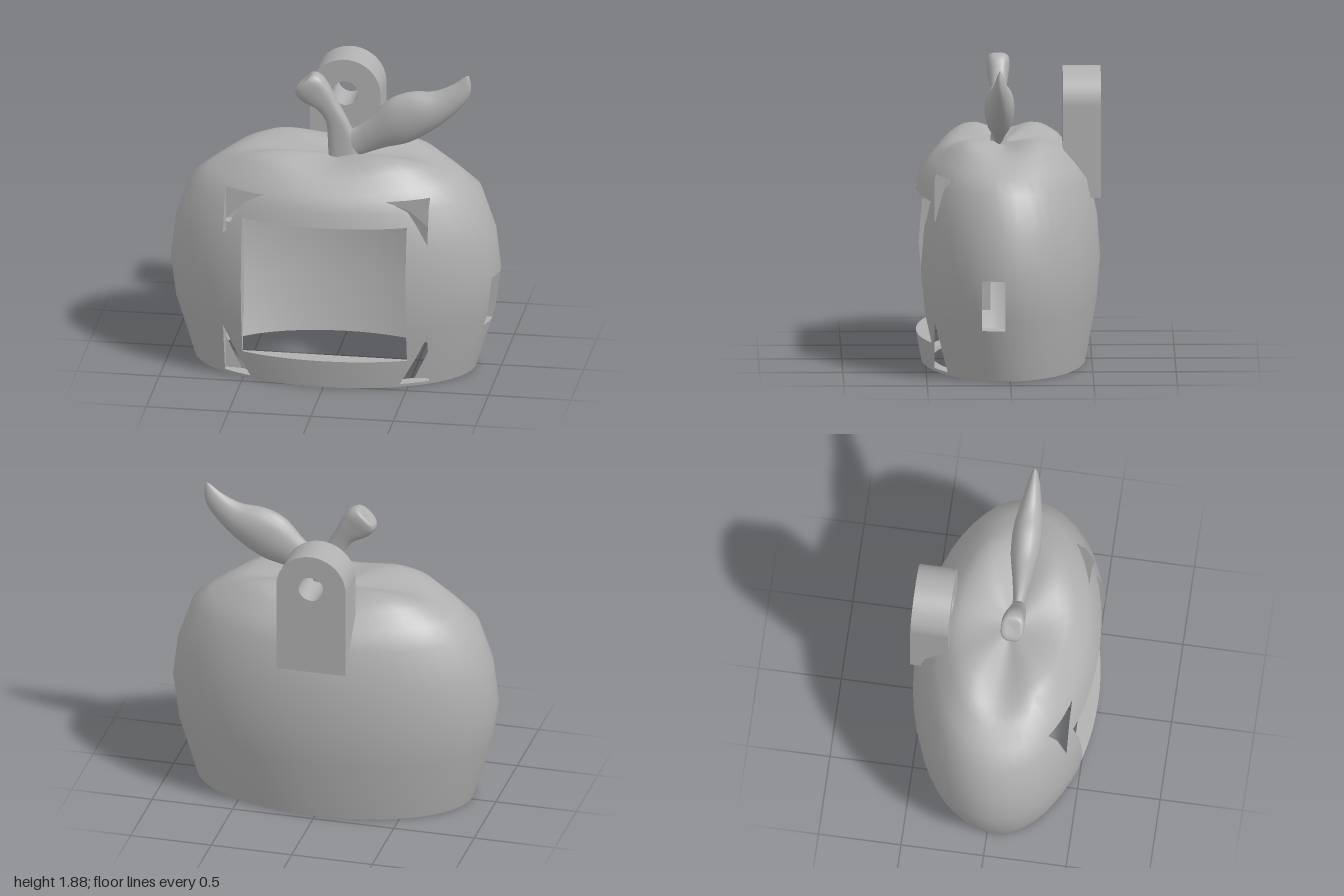
import * as THREE from 'three';
import { mergeVertices } from 'three/addons/utils/BufferGeometryUtils.js';

const DEPTH = 0.58, ZC = 0.03; // elliptical section: depth ratio and centre
const OUTER = [[0.85, 0], [0.967, 0.375], [1, 0.63], [0.97, 0.88], [0.883, 1.13], [0.77, 1.215], [0.65, 1.288],
  [0.56, 1.312], [0.48, 1.323], [0.38, 1.327], [0.28, 1.326], [0.18, 1.324], [0.09, 1.322], [0, 1.32]];
const INNER = [[0.738, 0], [0.855, 0.34], [0.888, 0.63], [0.86, 0.88], [0.77, 1.07], [0.54, 1.2], [0.3, 1.26], [0, 1.24]];

// radius of a profile at height y
function radius(profile, y) {
  for (let i = 1; i < profile.length; i++) {
    const [r0, y0] = profile[i - 1], [r1, y1] = profile[i];
    if (y <= y1) return r0 + (r1 - r0) * (y - y0) / (y1 - y0);
  }
  return 0;
}
const zAt = (p, x, y) => ZC + DEPTH * Math.sqrt(Math.max(0, radius(p, y) ** 2 - x * x));
const xAt = (p, z, y) => Math.sqrt(Math.max(0, radius(p, y) ** 2 - ((z - ZC) / DEPTH) ** 2));

// remove a box from a polygon of [position, normal] vertices
function subtractBox(poly, [min, max]) {
  const kept = [];
  for (let axis = 0; axis < 3; axis++) for (const side of [-1, 1]) {
    const dist = v => side < 0 ? min[axis] - v[axis] : v[axis] - max[axis];
    const out = [], inside = [];
    poly.forEach((a, i) => {
      const b = poly[(i + 1) % poly.length], da = dist(a), db = dist(b);
      (da > 0 ? out : inside).push(a);
      if (da > 0 !== db > 0) {
        const cut = a.map((v, k) => v + (b[k] - v) * da / (da - db));
        out.push(cut);
        inside.push(cut);
      }
    });
    if (out.length > 2) kept.push(out);
    poly = inside;
    if (poly.length < 3) return kept;
  }
  return kept;
}

// smooth elliptical skin with four crown lobes of a given height and box-shaped openings
function skin(profile, lobe, boxes) {
  let lathe = new THREE.LatheGeometry(profile.map(p => new THREE.Vector2(...p)), 48);
  const L = lathe.attributes.position;
  for (let i = 0; i < L.count; i++) {
    const x = L.getX(i), y = L.getY(i), z = L.getZ(i), r = Math.hypot(x, z);
    if (y > 1.2 && r < 0.85) {
      L.setY(i, y + lobe * Math.sin(Math.PI * (r / 0.85) ** 1.3) * Math.sin(2 * Math.atan2(z, x)) ** 2);
    }
  }
  lathe.scale(1, 1, DEPTH).translate(0, 0, ZC);
  lathe.deleteAttribute('normal');
  lathe.deleteAttribute('uv');
  lathe = mergeVertices(lathe);
  lathe.computeVertexNormals();
  const g = lathe.toNonIndexed(), P = g.attributes.position, N = g.attributes.normal;
  const pos = [], nor = [];
  for (let i = 0; i < P.count; i += 3) {
    let polys = [[0, 1, 2].map(k => [P.getX(i + k), P.getY(i + k), P.getZ(i + k),
      N.getX(i + k), N.getY(i + k), N.getZ(i + k)])];
    for (const box of boxes) polys = polys.flatMap(p => subtractBox(p, box));
    for (const p of polys) for (let k = 1; k < p.length - 1; k++) for (const v of [p[0], p[k], p[k + 1]]) {
      pos.push(...v.slice(0, 3));
      nor.push(...v.slice(3));
    }
  }
  const out = new THREE.BufferGeometry();
  out.setAttribute('position', new THREE.Float32BufferAttribute(pos, 3));
  out.setAttribute('normal', new THREE.Float32BufferAttribute(nor, 3));
  return out;
}

// ribbon of quads between two edges, each a function of t in 0..1
function ribbon(lo, hi, n = 24) {
  const pos = [];
  for (let i = 0; i < n; i++) {
    const a = lo(i / n), b = hi(i / n), c = hi((i + 1) / n), d = lo((i + 1) / n);
    pos.push(...a, ...b, ...c, ...a, ...c, ...d);
  }
  const g = new THREE.BufferGeometry();
  g.setAttribute('position', new THREE.Float32BufferAttribute(pos, 3));
  g.computeVertexNormals();
  return g;
}

// smooth loft of rounded sections [x0, y0, x1, y1, half thickness in z]; power < 1 is boxier
function loft(sections, z, power, rows = 40, sides = 20) {
  const A = new THREE.CatmullRomCurve3(sections.map(s => new THREE.Vector3(s[0], s[1], s[4])));
  const B = new THREE.CatmullRomCurve3(sections.map(s => new THREE.Vector3(s[2], s[3], s[4])));
  const round = v => Math.sign(v) * Math.abs(v) ** power;
  const pos = [], idx = [];
  for (let i = 0; i <= rows; i++) {
    const a = A.getPoint(i / rows), b = B.getPoint(i / rows);
    for (let j = 0; j < sides; j++) {
      const t = j / sides * Math.PI * 2, c = round(Math.cos(t)) / 2;
      pos.push((a.x + b.x) / 2 + (b.x - a.x) * c, (a.y + b.y) / 2 + (b.y - a.y) * c, z + a.z * round(Math.sin(t)));
      if (i < rows) {
        const p = i * sides + j, q = i * sides + (j + 1) % sides;
        idx.push(p, p + sides, q, q, p + sides, q + sides);
      }
    }
  }
  const g = new THREE.BufferGeometry();
  g.setAttribute('position', new THREE.Float32BufferAttribute(pos, 3));
  g.setIndex(idx);
  g.computeVertexNormals();
  return g;
}

export function createModel() {
  const model = new THREE.Group();
  const grey = new THREE.MeshStandardMaterial({ color: 0xb0b0b0, side: THREE.DoubleSide });
  grey.name = 'grey';
  const add = (name, geometry) => {
    const m = new THREE.Mesh(geometry, grey);
    m.name = name;
    model.add(m);
    return m;
  };

  // hollow body: window, inner pocket that breaks out at the corners, side slot
  const windowBox = [[-0.5, 0.18, 0], [0.5, 1.04, 2]];
  const pocket = [[-0.62, 0.02, 0.335], [0.62, 1.19, 0.45]];
  const slot = [[0.5, 0.32, 0.03], [2, 0.63, 0.17]];
  add('outerSkin', skin(OUTER, 0.058, [windowBox, pocket, slot]));
  add('innerSkin', skin([...INNER].reverse(), 0, [[pocket[0], [0.62, 1.19, 2]], slot]));
  const rim = add('bottomRim', new THREE.RingGeometry(0.738, 0.85, 48));
  rim.rotation.x = Math.PI / 2;
  rim.scale.y = DEPTH;
  rim.position.z = ZC;

  // flat front wall of the pocket, and its back faces in the corners
  const vectors = points => points.map(p => new THREE.Vector2(...p));
  const half = [[0.455, 0.02], [0.62, 0.33], [0.62, 0.93], [0.45, 1.15], [0.31, 1.19]];
  const wall = new THREE.Shape(vectors([...half, ...half.map(([x, y]) => [-x, y]).reverse()]));
  wall.holes.push(new THREE.Path(vectors([[-0.5, 0.18], [-0.5, 1.04], [0.5, 1.04], [0.5, 0.18]])));
  add('pocketFront', new THREE.ShapeGeometry(wall).translate(0, 0, 0.45));
  const corners = [[[0.23, 1.19], [0.62, 1.19], [0.62, 0.98], [0.5, 1.09]], [[0.525, 0.02], [0.62, 0.02], [0.62, 0.22]]];
  for (const s of [-1, 1]) for (const corner of corners) {
    const shape = new THREE.Shape(vectors(corner.map(([x, y]) => [s * x, y])));
    add('pocketBack', new THREE.ShapeGeometry(shape).translate(0, 0, 0.335));
  }

  // cut faces through the wall
  const pocketLo = (x, y) => [x, y, THREE.MathUtils.clamp(zAt(INNER, x, y), 0.335, 0.45)];
  const pocketHi = (x, y) => [x, y, THREE.MathUtils.clamp(zAt(OUTER, x, y), 0.335, 0.45)];
  const sill = (x, y) => [x, y, 0.45];
  const face = (x, y) => [x, y, zAt(OUTER, x, y)];
  const cuts = [['window', 0.5, 0.18, 1.04, sill, face], ['pocket', 0.62, 0.02, 1.19, pocketLo, pocketHi]];
  for (const [name, w, y0, y1, lo, hi] of cuts) {
    for (const x of [-w, w]) {
      const y = t => y0 + (y1 - y0) * t;
      add(name + 'Side', ribbon(t => lo(x, y(t)), t => hi(x, y(t))));
    }
    for (const y of [y0, y1]) {
      const x = t => -w + 2 * w * t;
      add(name + 'Edge', ribbon(t => lo(x(t), y), t => hi(x(t), y)));
    }
  }
  const slotPoint = (p, y, z) => [xAt(p, z, y), y, z];
  for (const z of [0.03, 0.17]) {
    const y = t => 0.32 + 0.31 * t;
    add('slotSide', ribbon(t => slotPoint(INNER, y(t), z), t => slotPoint(OUTER, y(t), z), 6));
  }
  for (const y of [0.32, 0.63]) {
    const z = t => 0.03 + 0.14 * t;
    add('slotEdge', ribbon(t => slotPoint(INNER, y, z(t)), t => slotPoint(OUTER, y, z(t)), 6));
  }

  // guide rails inside, on one side only
  for (const z of [0.13, -0.04]) {
    add('guideRail', new THREE.BoxGeometry(0.27, 0.62, 0.06)).position.set(-0.71, 0.51, z);
  }

  // hanging lug with a round hole; its underside slopes up inside the shell
  const lug = new THREE.Shape();
  lug.moveTo(-0.215, 1.01).lineTo(0.215, 1.01).lineTo(0.215, 1.565);
  lug.absarc(0, 1.565, 0.215, 0, Math.PI);
  lug.closePath();
  lug.holes.push(new THREE.Path().absarc(0, 1.565, 0.077, 0, Math.PI * 2, true));
  const lugGeometry = new THREE.ExtrudeGeometry(lug, { depth: 0.228, steps: 3, bevelEnabled: false, curveSegments: 24 });
  lugGeometry.translate(0, 0, -0.553);
  const lp = lugGeometry.attributes.position;
  for (let i = 0; i < lp.count; i++) {
    if (lp.getY(i) < 1.02) lp.setY(i, 1.01 + 1.25 * Math.max(0, lp.getZ(i) + 0.477));
  }
  lugGeometry.computeVertexNormals();
  add('hangingLug', lugGeometry);

  // stem and leaf, joined at the base
  add('stem', loft([[-0.04, 1.27, 0.16, 1.27, 0.05], [-0.045, 1.42, 0.13, 1.42, 0.045],
    [-0.055, 1.53, 0.075, 1.55, 0.045], [-0.1, 1.605, 0.015, 1.66, 0.05], [-0.19, 1.655, -0.04, 1.77, 0.062],
    [-0.235, 1.7, -0.085, 1.825, 0.07], [-0.24, 1.735, -0.13, 1.84, 0.065], [-0.187, 1.787, -0.183, 1.79, 0.004]], 0.06, 0.75));
  add('leaf', loft([[0.03, 1.5, 0.05, 1.29, 0.04], [0.11, 1.5, 0.18, 1.34, 0.04], [0.2, 1.565, 0.31, 1.39, 0.06],
    [0.33, 1.7, 0.45, 1.43, 0.088], [0.45, 1.75, 0.6, 1.52, 0.088], [0.6, 1.765, 0.73, 1.635, 0.06],
    [0.72, 1.82, 0.81, 1.74, 0.035], [0.795, 1.875, 0.825, 1.81, 0.015], [0.81, 1.88, 0.812, 1.878, 0.002]], 0.06, 1));
  return model;
}
